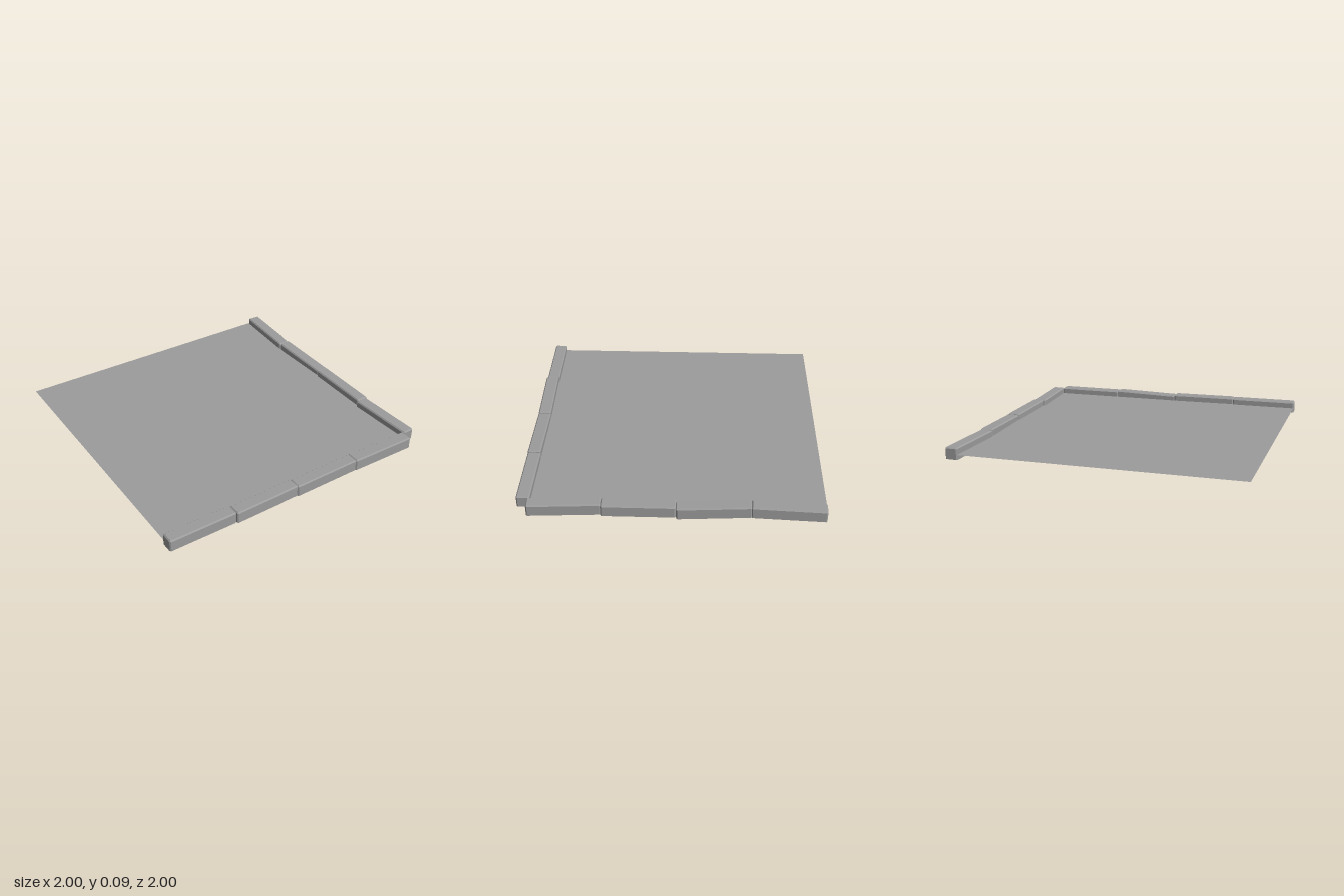
import * as THREE from 'three';
import { ConvexGeometry } from 'three/addons/geometries/ConvexGeometry.js';

const material = new THREE.MeshStandardMaterial({ color: 0x9c9c9c, flatShading: true, side: THREE.DoubleSide });

// Hollow block, open underneath, with chamfered top and corner edges
function openBlock(w, h, d, c) {
  const points = [];
  for (const x of [-w / 2, w / 2]) for (const z of [-d / 2, d / 2]) {
    const ix = x - Math.sign(x) * c, iz = z - Math.sign(z) * c;
    for (const y of [-h / 2, h / 2 - c]) {
      points.push(new THREE.Vector3(x, y, iz), new THREE.Vector3(ix, y, z));
    }
    points.push(new THREE.Vector3(ix, h / 2, iz));
  }
  // Drop the triangles that face straight down
  const hull = new ConvexGeometry(points);
  const position = hull.attributes.position, normal = hull.attributes.normal;
  const kept = [];
  for (let i = 0; i < position.count; i += 3) {
    if (normal.getY(i) > -0.9) kept.push(i, i + 1, i + 2);
  }
  hull.setIndex(kept);
  return hull;
}

// Kerb stone laid between the centres of its two end faces
function stone(name, from, to) {
  const a = new THREE.Vector3(...from), b = new THREE.Vector3(...to);
  const mesh = new THREE.Mesh(openBlock(0.088, 0.08, a.distanceTo(b), 0.008), material);
  mesh.name = name;
  mesh.position.copy(a).add(b).multiplyScalar(0.5);
  mesh.lookAt(b);
  return mesh;
}

export function createModel() {
  const model = new THREE.Group();
  model.name = 'pavementCorner';

  // Flat paving sheet, tucked against the kerbs
  const paving = new THREE.Mesh(new THREE.PlaneGeometry(1.91, 1.91), material);
  paving.name = 'paving';
  paving.rotation.x = -Math.PI / 2;
  paving.position.set(-0.045, 0.045, -0.045);
  model.add(paving);

  // Front kerb: start x, end x, start y, end y, start z, end z
  const frontKerb = new THREE.Group();
  frontKerb.name = 'frontKerb';
  [
    [-1, -0.523, 0.05, 0.05, 0.946, 0.942],
    [-0.523, -0.046, 0.05, 0.05, 0.952, 0.94],
    [-0.046, 0.432, 0.042, 0.055, 0.941, 0.941],
    [0.432, 0.909, 0.049, 0.049, 0.94, 0.94],
  ].forEach(([x0, x1, y0, y1, z0, z1]) =>
    frontKerb.add(stone('frontKerbStone', [x0, y0, z0], [x1, y1, z1])));
  model.add(frontKerb);

  // Left kerb: start z, end z, start y, end y, start x, end x
  const leftKerb = new THREE.Group();
  leftKerb.name = 'leftKerb';
  [
    [0.912, 0.436, 0.049, 0.05, 0.953, 0.927],
    [0.435, -0.042, 0.05, 0.05, 0.94, 0.94],
    [-0.042, -0.519, 0.042, 0.055, 0.947, 0.932],
    [-0.52, -0.996, 0.05, 0.05, 0.928, 0.953],
  ].forEach(([z0, z1, y0, y1, x0, x1]) =>
    leftKerb.add(stone('leftKerbStone', [x0, y0, z0], [x1, y1, z1])));
  model.add(leftKerb);

  return model;
}
